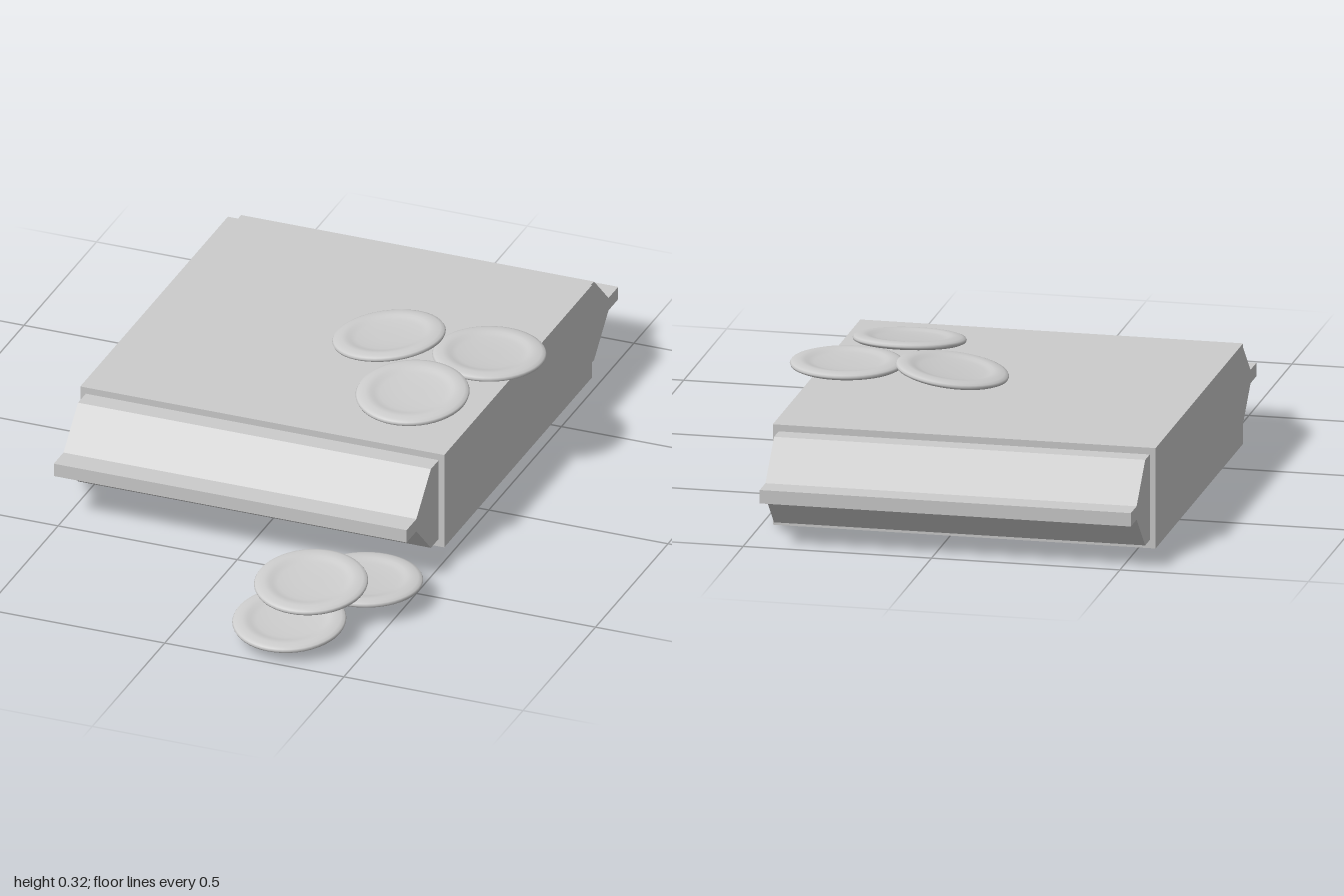
import * as THREE from 'three';

const grey = new THREE.MeshStandardMaterial({ color: 0xcccccc });
const flat = new THREE.MeshStandardMaterial({ color: 0xcccccc, flatShading: true });

// Round wafer: rounded rim, shallow dished centre, flat underside
function waferGeometry() {
  const profile = [
    [0, -0.01], [0.12, -0.01], [0.138, -0.008], [0.146, -0.004], [0.148, 0.001],
    [0.145, 0.006], [0.136, 0.009], [0.122, 0.011], [0.108, 0.01], [0.1, 0.006],
    [0.085, 0.004], [0.06, 0.002], [0.03, 0.001], [0, 0.001],
  ].map(([r, y]) => new THREE.Vector2(r, y));
  return new THREE.LatheGeometry(profile, 48);
}

// Crimped end of the packet: shoulder, taper and flat sealing strip along +z
function sealGeometry(width) {
  const half = [[0, 0.115], [0.055, 0.115], [0.155, 0.018], [0.222, 0.018]];
  const outline = [...half, ...half.map(([z, y]) => [z, -y]).reverse()];
  const shape = new THREE.Shape(outline.map(([z, y]) => new THREE.Vector2(z, y)));
  const geometry = new THREE.ExtrudeGeometry(shape, { depth: width, bevelEnabled: false });
  geometry.translate(0, 0, -width / 2);
  return geometry.rotateY(-Math.PI / 2);
}

export function createModel() {
  const model = new THREE.Group();
  const centreX = -0.037;

  // Packet body
  const body = new THREE.Mesh(new THREE.BoxGeometry(1.016, 0.27, 1.018), flat);
  body.name = 'packetBody';
  body.position.set(centreX, 0.135, -0.273);
  model.add(body);

  // Sealed ends, mirrored front to back
  const seal = sealGeometry(0.985);
  for (const [name, z, turn] of [['frontSeal', 0.235, 0], ['backSeal', -0.78, Math.PI]]) {
    const mesh = new THREE.Mesh(seal, flat);
    mesh.name = name;
    mesh.position.set(centreX, 0.137, z);
    mesh.rotation.y = turn;
    model.add(mesh);
  }

  // Wafers: three resting on the packet, three in front of it
  const wafer = waferGeometry();
  const tilt = 0.12;
  const placements = [
    ['topWaferRight', 0.11, 0.298, -0.275, 0, tilt],
    ['topWaferLeft', 0.39, 0.3, -0.275, 0, 0],
    ['topWaferFront', 0.285, 0.297, -0.005, tilt, 0],
    ['groundWaferBack', 0.39, 0.054, 0.575, 0, 0],
    ['groundWaferMiddle', 0.285, 0.085, 0.695, tilt, 0],
    ['groundWaferFront', 0.285, 0.048, 0.845, tilt, 0],
  ];
  for (const [name, x, y, z, tiltX, tiltZ] of placements) {
    const mesh = new THREE.Mesh(wafer, grey);
    mesh.name = name;
    mesh.position.set(x, y, z);
    mesh.rotation.set(tiltX, 0, tiltZ);
    model.add(mesh);
  }
  return model;
}
